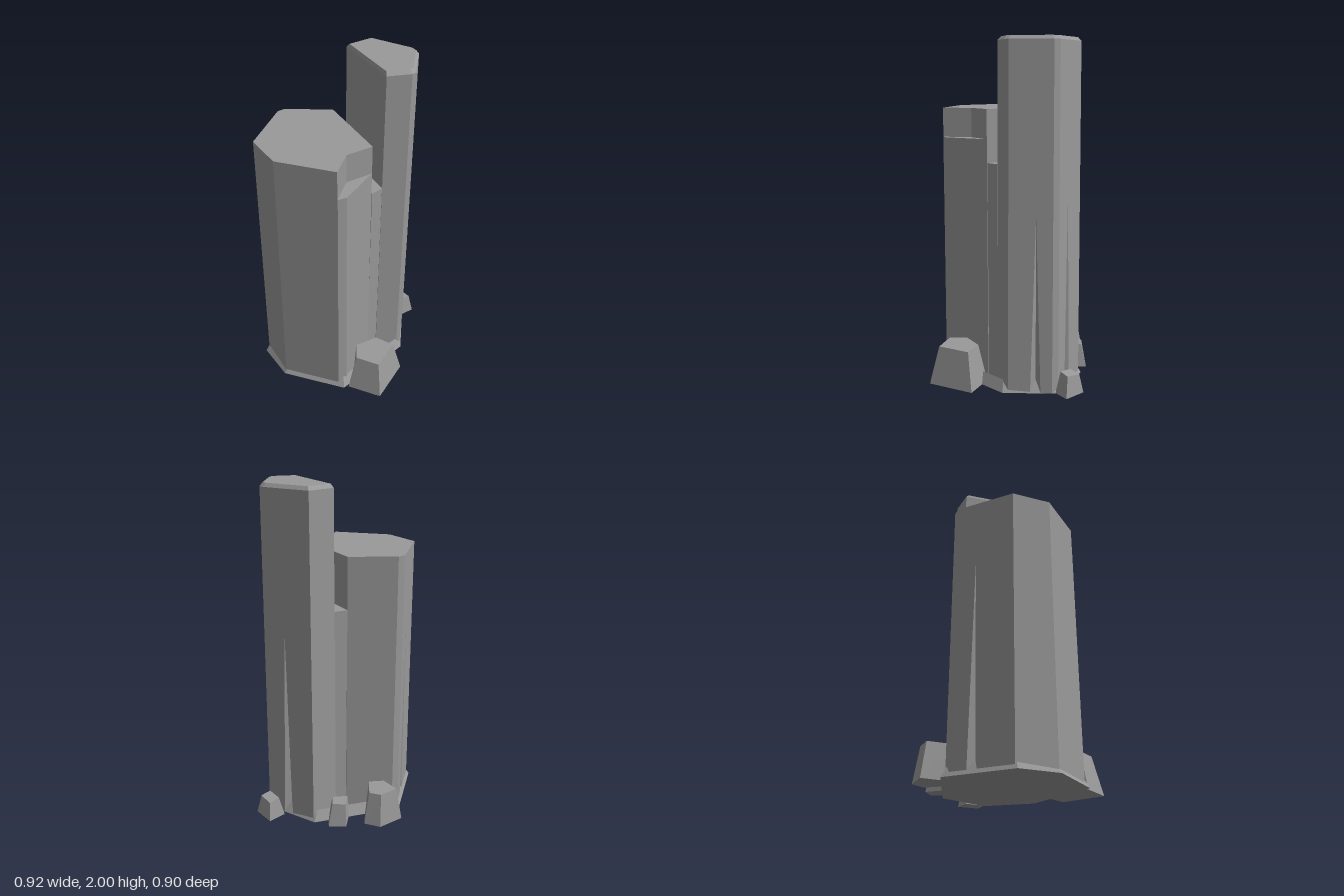
import * as THREE from 'three';

// Cross-section: [x, z] outline scaled about a centre at height y
// (outlines run front, right, back, left)
function ring(pts, y, s = 1, cx = 0, cz = 0) {
  return pts.map(([x, z]) => new THREE.Vector3(cx + (x - cx) * s, y, cz + (z - cz) * s));
}

// Flat-faced loft through rings, with optional caps and V-shaped cracks in the lowest walls
function loft(rings, { top = true, bottom = false, cracks = [] } = {}) {
  const pos = [];
  const tri = (...vs) => vs.forEach(v => pos.push(v.x, v.y, v.z));
  const cap = (r, up) => {
    const flat = r.map(v => new THREE.Vector2(v.x, -v.z));
    for (const [a, b, c] of THREE.ShapeUtils.triangulateShape(flat, [])) {
      if (up) tri(r[a], r[b], r[c]); else tri(r[a], r[c], r[b]);
    }
  };
  for (let k = 0; k < rings.length - 1; k++) {
    const lo = rings[k], hi = rings[k + 1], n = lo.length;
    for (let i = 0; i < n; i++) {
      const j = (i + 1) % n, a = lo[i], b = lo[j], c = hi[j], d = hi[i];
      const crack = k === 0 && cracks.find(q => q.edge === i);
      if (!crack) { tri(a, b, c); tri(a, c, d); continue; }
      const dir = b.clone().sub(a).normalize();
      const mid = a.clone().lerp(b, crack.t);
      const L = mid.clone().addScaledVector(dir, -0.03);
      const R = mid.clone().addScaledVector(dir, 0.03);
      const deep = mid.clone().add(new THREE.Vector3(dir.z, 0, -dir.x).multiplyScalar(0.04));
      const tip = mid.clone().lerp(d.clone().lerp(c, crack.t), crack.h / (d.y - a.y));
      tri(a, L, tip); tri(a, tip, d); tri(tip, c, d); tri(tip, b, c); tri(tip, R, b);
      tri(L, deep, tip); tri(deep, R, tip);
    }
  }
  if (top) cap(rings[rings.length - 1], true);
  if (bottom) cap(rings[0], false);
  const g = new THREE.BufferGeometry();
  g.setAttribute('position', new THREE.Float32BufferAttribute(pos, 3));
  g.computeVertexNormals();
  return g;
}

export function createModel() {
  const group = new THREE.Group();
  const stone = new THREE.MeshStandardMaterial({ color: 0x999999 });
  stone.name = 'stone grey';
  const add = (name, geometry) => {
    const mesh = new THREE.Mesh(geometry, stone);
    mesh.name = name;
    group.add(mesh);
  };

  // Broad front column, with a lower step cut into its front corner
  const broad = [[-0.415, 0.28], [-0.235, 0.435], [0.12, 0.435], [0.16, 0.4],
    [0.225, 0.135], [-0.11, -0.205], [-0.385, -0.13], [-0.415, -0.09]];
  const broadTop = [[-0.415, 0.28], [-0.235, 0.435], [0.118, 0.435], [0.115, 0.26],
    ...broad.slice(4)];
  const c1 = [-0.1, 0.13];
  add('broadColumn', loft([ring(broad, 0, 1, ...c1), ring(broad, 1.435, 0.982, ...c1)],
    { cracks: [{ edge: 7, t: 0.35, h: 1.2 }] }));
  add('broadColumnTop', loft([ring(broadTop, 1.435, 0.982, ...c1), ring(broadTop, 1.605, 0.98, ...c1)]));

  // Tall rear column with a chamfered top
  const tall = [[-0.055, -0.25], [0.265, 0.07], [0.39, 0], [0.405, -0.03],
    [0.365, -0.28], [0.335, -0.31], [0.05, -0.385]];
  const c2 = [0.17, -0.16];
  add('tallColumn', loft(
    [ring(tall, 0, 1, ...c2), ring(tall, 1.98, 0.95, ...c2), ring(tall, 2, 0.87, ...c2)],
    { cracks: [{ edge: 3, t: 0.62, h: 1.04 }, { edge: 5, t: 0.4, h: 1.19 }] }));

  // Lower stone joining the two columns
  const link = [[-0.11, -0.2], [0.2, 0.11], [0.222, 0.132], [0.262, 0.066], [0.24, 0.02], [-0.04, -0.25]];
  add('columnBridge', loft([ring(link, 0), ring(link, 1.3)]));

  // Sloping skirt around the foot
  const foot = [[-0.43, 0.3], [-0.24, 0.45], [0.16, 0.45], [0.42, 0],
    [0.36, -0.3], [0.04, -0.4], [-0.43, -0.13]];
  add('footSkirt', loft([ring(foot, 0), ring(foot, 0.065, 0.91, 0, 0.02)],
    { top: false, bottom: true }));

  // Loose boulders: base outline, top outline, height, backward tilt of the top
  const boulders = [
    ['frontBoulder', [[0.185, 0.43], [0.395, 0.447], [0.46, 0.172], [0.275, 0.13], [0.17, 0.27]],
      [[0.22, 0.38], [0.365, 0.395], [0.41, 0.205], [0.29, 0.178], [0.19, 0.28]], 0.225, 0],
    ['leftRearBoulder', [[-0.335, -0.14], [-0.225, -0.17], [-0.255, -0.34], [-0.355, -0.35], [-0.463, -0.23]],
      [[-0.335, -0.155], [-0.25, -0.185], [-0.275, -0.308], [-0.347, -0.314], [-0.425, -0.225]], 0.2, 0],
    ['rearBoulder', [[-0.142, -0.253], [-0.025, -0.315], [-0.053, -0.42], [-0.155, -0.393]],
      [[-0.135, -0.28], [-0.05, -0.315], [-0.068, -0.385], [-0.145, -0.375]], 0.14, 0],
    ['cornerBoulder', [[0.243, -0.36], [0.352, -0.298], [0.416, -0.372], [0.307, -0.453]],
      [[0.275, -0.37], [0.345, -0.325], [0.385, -0.372], [0.312, -0.428]], 0.13, 0.2],
  ];
  for (const [name, base, crown, h, tilt] of boulders) {
    const upper = ring(crown, h);
    upper.forEach(v => { v.y += (v.z + 0.33) * tilt; });
    add(name, loft([ring(base, 0), upper], { bottom: true }));
  }
  return group;
}
